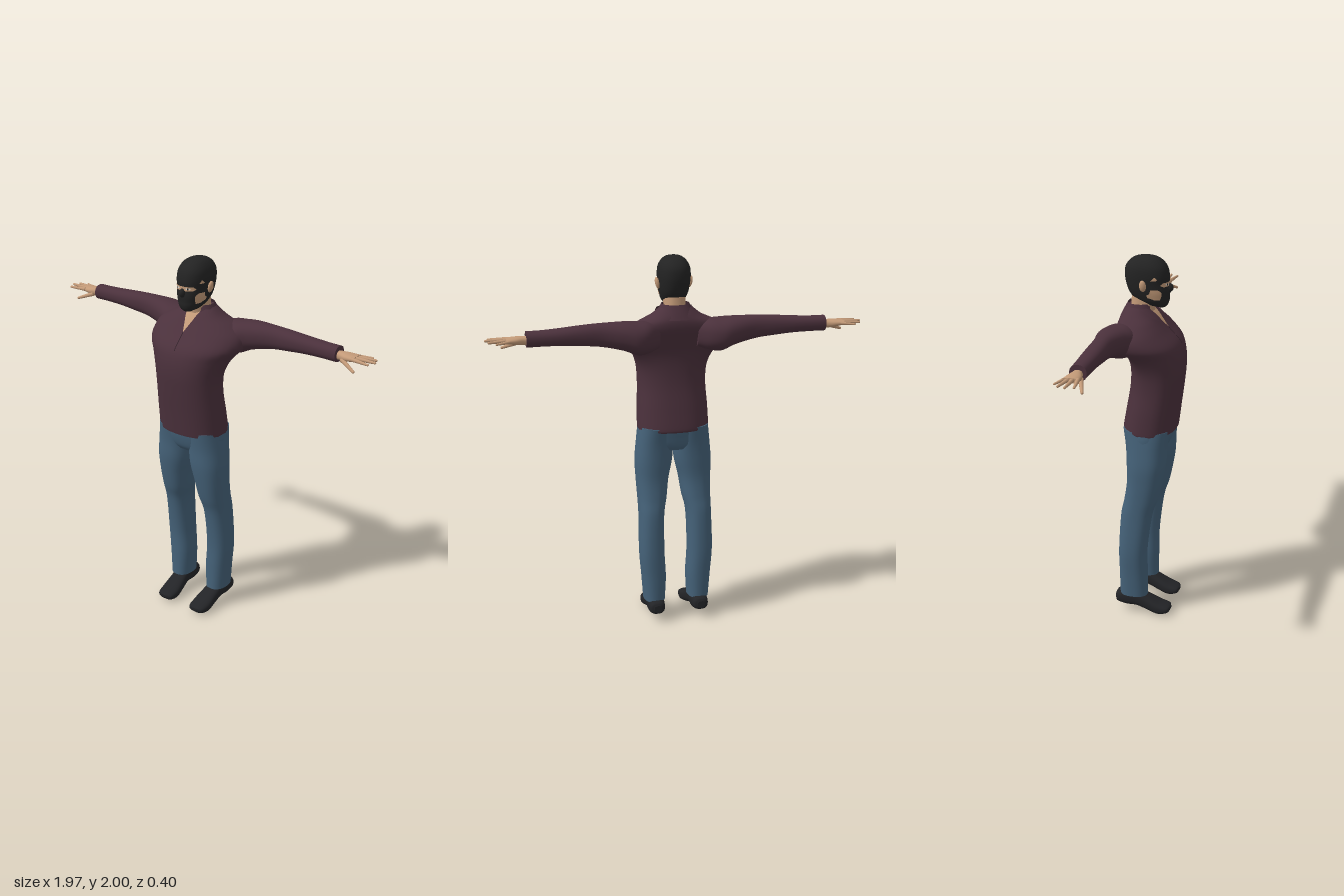
import * as THREE from 'three';
import { mergeGeometries } from 'three/addons/utils/BufferGeometryUtils.js';

const mat = (name, color, side = THREE.FrontSide) => {
  const m = new THREE.MeshStandardMaterial({ color, side });
  m.name = name;
  return m;
};

// Smooth cross-section keys: [s, centre, halfWidth, front, back, widest?]
function sampler(keys) {
  const flat = keys.flatMap(([s, a, w, f, b, m = (f + b) / 2]) => [s, a, w, f, b, m]);
  const spline = new THREE.CubicInterpolant(keys.map((_, i) => i), flat, 6, new Float32Array(6));
  const at = u => Array.from(spline.evaluate(u));
  // Cross-section at a given position along the axis
  const find = s => {
    let lo = 0, hi = keys.length - 1;
    for (let i = 0; i < 30; i++) {
      const mid = (lo + hi) / 2;
      if (at(mid)[0] < s) lo = mid; else hi = mid;
    }
    return at(lo);
  };
  return { at, find, count: keys.length };
}

const power = (v, e) => Math.sign(v) * Math.abs(v) ** e;
const ringPoint = ([s, a, w, f, b, m], t, p) => {
  const c = power(Math.cos(t), 2 / p), q = power(Math.sin(t), 2 / p);
  return [s, a + w * c, m + (q > 0 ? f - m : m - b) * q];
};

// Quad grid of points, optionally closed around and capped
function grid(point, rows, cols, { wrap = false, flip = false, caps = false } = {}) {
  const pos = [], idx = [], n = wrap ? cols : cols + 1;
  const tri = (a, b, c) => (flip ? idx.push(a, c, b) : idx.push(a, b, c));
  for (let j = 0; j <= rows; j++) for (let i = 0; i < n; i++) pos.push(...point(j, i));
  for (let j = 0; j < rows; j++) for (let i = 0; i < cols; i++) {
    const a = j * n + i, b = j * n + (i + 1) % n;
    tri(a, a + n, b + n);
    tri(a, b + n, b);
  }
  if (caps) for (const j of [0, rows]) {
    const base = pos.length / 3, mid = [0, 0, 0];
    for (let i = 0; i < n; i++) {
      const p = point(j, i);
      pos.push(...p);
      p.forEach((v, k) => { mid[k] += v / n; });
    }
    pos.push(...mid);
    for (let i = 0; i < n; i++) {
      const a = base + i, b = base + (i + 1) % n;
      if (j) tri(a, base + n, b); else tri(a, b, base + n);
    }
  }
  const g = new THREE.BufferGeometry();
  g.setAttribute('position', new THREE.Float32BufferAttribute(pos, 3));
  g.setIndex(idx);
  g.computeVertexNormals();
  return g;
}

// Lofted solid along an axis; side -1 mirrors it across x
const MAP = {
  y: (s, a, r) => [a, s, r],
  x: (s, a, r) => [s, a, r],
  z: (s, a, r) => [a, r, s],
};
function loft(keys, axis = 'y', side = 1, p = 2.3, cols = 36) {
  const S = sampler(keys), per = 6, rows = (S.count - 1) * per;
  return grid((j, i) => {
    const [x, y, z] = MAP[axis](...ringPoint(S.at(j / per), i / cols * Math.PI * 2, p));
    return [x * side, y, z];
  }, rows, cols, { wrap: true, caps: true, flip: (axis !== 'y') !== (side < 0) });
}

// Thin plate following the front of a vertical loft; bounds run upward as [y, x0, x1]
function plate(keys, bounds, off, p = 2.3) {
  const S = sampler(keys), per = 6, cols = 10;
  return grid((j, i) => {
    const k = Math.min(Math.floor(j / per), bounds.length - 2), f = j / per - k;
    const [y, x0, x1] = bounds[k].map((v, c) => v + (bounds[k + 1][c] - v) * f);
    const [, a, w, front, , m] = S.find(y);
    const c = THREE.MathUtils.clamp((x0 + (x1 - x0) * i / cols - a) / w, -1, 1);
    return [a + (w + off) * c, y, m + (front + off - m) * (1 - Math.abs(c) ** p) ** (1 / p)];
  }, (bounds.length - 1) * per, cols, { flip: true });
}
const mirrorBounds = (b, s) => (s > 0 ? b : b.map(([y, x0, x1]) => [y, -x1, -x0]));

// Tapered finger with a rounded tip
function finger(a, b, r0, r1) {
  const A = new THREE.Vector3(...a), B = new THREE.Vector3(...b), d = B.clone().sub(A);
  const q = new THREE.Quaternion().setFromUnitVectors(new THREE.Vector3(0, 1, 0), d.clone().normalize());
  const c = A.clone().add(B).multiplyScalar(0.5);
  return mergeGeometries([
    new THREE.CylinderGeometry(r1, r0, d.length(), 10).applyQuaternion(q).translate(c.x, c.y, c.z),
    new THREE.SphereGeometry(r1, 10, 8).translate(B.x, B.y, B.z),
  ]);
}

const TORSO = [
  [1.08, 0, 0.19, 0.163, -0.112], [1.1, 0, 0.191, 0.166, -0.115], [1.2, 0, 0.188, 0.178, -0.098],
  [1.32, 0, 0.182, 0.193, -0.078], [1.42, 0, 0.19, 0.202, -0.073, 0.05], [1.5, 0, 0.222, 0.197, -0.08, 0.01],
  [1.56, 0, 0.268, 0.175, -0.1, -0.04], [1.62, 0, 0.265, 0.12, -0.125, -0.07],
  [1.665, 0, 0.21, 0.08, -0.132, -0.07], [1.7, 0, 0.135, 0.05, -0.125, -0.05], [1.74, 0, 0.083, 0.01, -0.1, -0.04],
];
const COLLAR = [[1.685, 0, 0.125, 0.07, -0.135, -0.04], [1.72, 0, 0.092, 0.045, -0.118, -0.04], [1.757, 0, 0.072, 0.03, -0.098, -0.035]];
const NECK = [[1.66, 0, 0.06, 0.04, -0.095], [1.72, 0, 0.056, 0.04, -0.085], [1.8, 0, 0.056, 0.065, -0.078]];
const HEAD = [
  [1.737, 0, 0.022, 0.096, 0.05], [1.75, 0, 0.045, 0.108, 0, 0.05], [1.77, 0, 0.06, 0.115, -0.045, 0.03],
  [1.79, 0, 0.067, 0.116, -0.075, 0.02], [1.82, 0, 0.075, 0.118, -0.095, 0.01], [1.86, 0, 0.08, 0.114, -0.108, 0],
  [1.9, 0, 0.083, 0.115, -0.114, 0], [1.94, 0, 0.079, 0.105, -0.11, 0], [1.97, 0, 0.064, 0.082, -0.09, 0],
  [1.99, 0, 0.041, 0.05, -0.058, 0], [2, 0, 0.002, 0.002, -0.002, 0],
];
const PELVIS = [[0.97, 0, 0.13, 0.105, -0.062], [1.0, 0, 0.185, 0.125, -0.08], [1.05, 0, 0.193, 0.14, -0.09], [1.11, 0, 0.187, 0.15, -0.1]];
const LEG = [
  [0.115, 0.123, 0.058, 0.035, -0.118], [0.25, 0.125, 0.066, 0.034, -0.12], [0.4, 0.134, 0.068, 0.035, -0.12],
  [0.6, 0.131, 0.068, 0.06, -0.108], [0.7, 0.122, 0.078, 0.09, -0.09], [0.8, 0.117, 0.087, 0.112, -0.077],
  [0.9, 0.108, 0.099, 0.128, -0.079], [1.0, 0.1, 0.098, 0.133, -0.085], [1.1, 0.094, 0.092, 0.145, -0.1],
];
const ARM = [
  [0.1, 1.6, 0.06, -0.04, -0.125], [0.16, 1.6, 0.08, -0.01, -0.178], [0.22, 1.6, 0.085, 0, -0.198],
  [0.29, 1.617, 0.073, -0.03, -0.19], [0.4, 1.63, 0.06, -0.06, -0.168], [0.5, 1.633, 0.052, -0.065, -0.165],
  [0.6, 1.633, 0.044, -0.07, -0.165], [0.7, 1.631, 0.04, -0.075, -0.162], [0.78, 1.63, 0.04, -0.076, -0.16],
];
const PALM = [[0.75, 1.625, 0.022, -0.095, -0.142], [0.79, 1.625, 0.022, -0.093, -0.144], [0.83, 1.627, 0.02, -0.082, -0.155], [0.88, 1.63, 0.013, -0.083, -0.162]];
const SHOE = [
  [-0.143, 0.122, 0.02, 0.105, 0.065], [-0.13, 0.122, 0.04, 0.122, 0.053], [-0.08, 0.121, 0.047, 0.135, 0.042],
  [-0.02, 0.12, 0.045, 0.132, 0.04], [0.04, 0.115, 0.05, 0.103, 0.02], [0.1, 0.112, 0.055, 0.072, 0.003],
  [0.15, 0.11, 0.045, 0.054, 0.014], [0.164, 0.11, 0.015, 0.045, 0.03],
];
const FINGERS = [
  [[0.865, 1.631, -0.09], [0.962, 1.63, -0.076], 0.011, 0.006], [[0.87, 1.632, -0.112], [0.979, 1.632, -0.115], 0.011, 0.006],
  [[0.87, 1.631, -0.134], [0.965, 1.63, -0.152], 0.01, 0.006], [[0.86, 1.629, -0.152], [0.93, 1.626, -0.18], 0.009, 0.005],
  [[0.81, 1.615, -0.095], [0.895, 1.582, -0.062], 0.013, 0.007],
];

export function createModel() {
  const model = new THREE.Group();
  const skin = mat('skin', 0xc39a78), black = mat('mask black', 0x232323), shoeMat = mat('shoe black', 0x232427);
  const shirt = mat('maroon shirt', 0x4b313c, THREE.DoubleSide), jeans = mat('blue denim', 0x456279);
  const seam = mat('dark seam', 0x2b1c23), white = mat('eye white', 0xd8d4cc);
  const add = (name, geometry, material) => {
    const m = new THREE.Mesh(geometry, material);
    m.name = name;
    model.add(m);
    return m;
  };

  // Head and mask
  add('mask', loft(HEAD), black);
  add('nose', new THREE.SphereGeometry(1, 20, 14).scale(0.016, 0.024, 0.024).translate(0, 1.838, 0.113), black);
  add('eyeOpening', plate(HEAD, [[1.85, -0.05, 0.05], [1.86, -0.062, 0.062], [1.872, -0.052, 0.052]], 0.002), skin);
  add('neck', loft(NECK), skin);

  // Shirt body, open neckline, and collar
  add('shirtBody', loft(TORSO), shirt);
  add('openNeckline', plate(TORSO, [[1.63, 0, 0], [1.7, -0.03, 0.03], [1.737, -0.045, 0.045]], 0.004), skin);
  add('placket', plate(TORSO, [[1.55, -0.002, 0.002], [1.63, -0.002, 0.002]], 0.003), seam);
  const C = sampler(COLLAR);
  add('collar', grid((j, i) => {
    const [y, x, z] = ringPoint(C.at(j / 4), Math.PI * (0.68 + 1.64 * i / 36), 2.2);
    return [x, y, z];
  }, 8, 36), shirt);
  add('hips', loft(PELVIS), jeans);

  for (const s of [1, -1]) {
    const side = s > 0 ? 'left' : 'right';
    const front = (name, keys, b, off, m) => add(side + name, plate(keys, mirrorBounds(b, s), off), m);
    // Face details
    front('CheekOpening', HEAD, [[1.783, 0.055, 0.063], [1.8, 0.055, 0.0715], [1.825, 0.058, 0.075], [1.838, 0.067, 0.076]], 0.002, skin);
    front('TempleOpening', HEAD, [[1.886, 0.07, 0.08], [1.902, 0.075, 0.077]], 0.002, skin);
    front('EyeWhite', HEAD, [[1.857, 0.022, 0.036], [1.862, 0.018, 0.042], [1.867, 0.022, 0.037]], 0.004, white);
    front('Pupil', HEAD, [[1.857, 0.027, 0.033], [1.867, 0.027, 0.033]], 0.005, black);
    add(side + 'Ear', new THREE.SphereGeometry(1, 16, 12).scale(0.012, 0.031, 0.018)
      .rotateZ(-0.2 * s).translate(0.086 * s, 1.858, -0.002), skin);
    front('CollarFlap', TORSO, [[1.655, 0.028, 0.036], [1.7, 0.03, 0.085], [1.738, 0.043, 0.083]], 0.012, shirt);
    // Arms and hands
    add(side + 'Sleeve', loft(ARM, 'x', s), shirt);
    add(side + 'Palm', loft(PALM, 'x', s), skin);
    FINGERS.forEach(([a, b, r0, r1], i) => add(side + (i < 4 ? 'Finger' : 'Thumb'),
      finger([a[0] * s, a[1], a[2]], [b[0] * s, b[1], b[2]], r0, r1), skin));
    // Legs and shoes
    add(side + 'TrouserLeg', loft(LEG, 'y', s), jeans);
    add(side + 'Shoe', loft(SHOE, 'z', s, 2.6), shoeMat);
  }
  return model;
}
